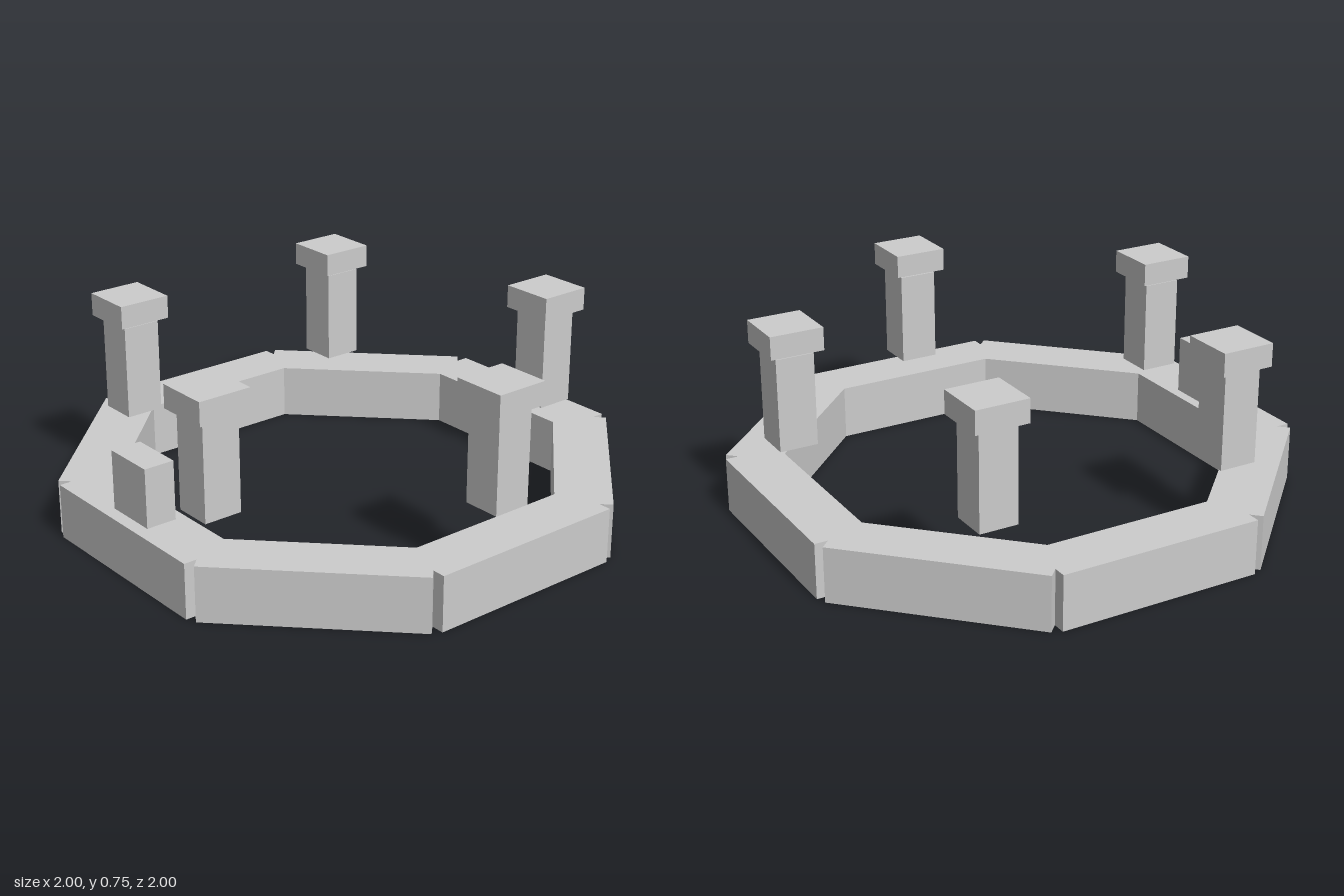
import * as THREE from 'three';

export function createModel() {
  const model = new THREE.Group();
  const stone = new THREE.MeshStandardMaterial({ color: 0xcccccc });
  stone.name = 'stone grey';

  // Box standing on height y0
  const block = (parent, name, w, h, d, x, y0, z) => {
    const mesh = new THREE.Mesh(new THREE.BoxGeometry(w, h, d), stone);
    mesh.name = name;
    mesh.position.set(x, y0 + h / 2, z);
    parent.add(mesh);
    return mesh;
  };

  // Octagonal ring of eight straight wall segments, notched at the outer corners
  const ring = new THREE.Group();
  ring.name = 'ringWall';
  const ringRadius = 0.896;
  for (let i = 0; i < 8; i++) {
    const a = (i * Math.PI) / 4;
    const segment = block(ring, 'wallSegment', 0.787, 0.21, 0.208,
      Math.sin(a) * ringRadius, 0, Math.cos(a) * ringRadius);
    segment.rotation.y = a;
  }
  model.add(ring);

  // Five axis-aligned floating pillars, each with a separate cap
  const pillarRadius = 0.834;
  for (let i = 0; i < 5; i++) {
    const a = (i * Math.PI * 2) / 5;
    const pillar = new THREE.Group();
    pillar.name = 'pillar';
    pillar.position.set(Math.cos(a) * pillarRadius, 0, Math.sin(a) * pillarRadius);
    block(pillar, 'shaft', 0.148, 0.358, 0.148, 0, 0.29, 0);
    block(pillar, 'cap', 0.206, 0.088, 0.206, 0, 0.662, 0);
    model.add(pillar);
  }

  // Upright block on the front wall
  block(model, 'frontBlock', 0.207, 0.224, 0.118, -0.002, 0.21, 0.892);

  return model;
}
